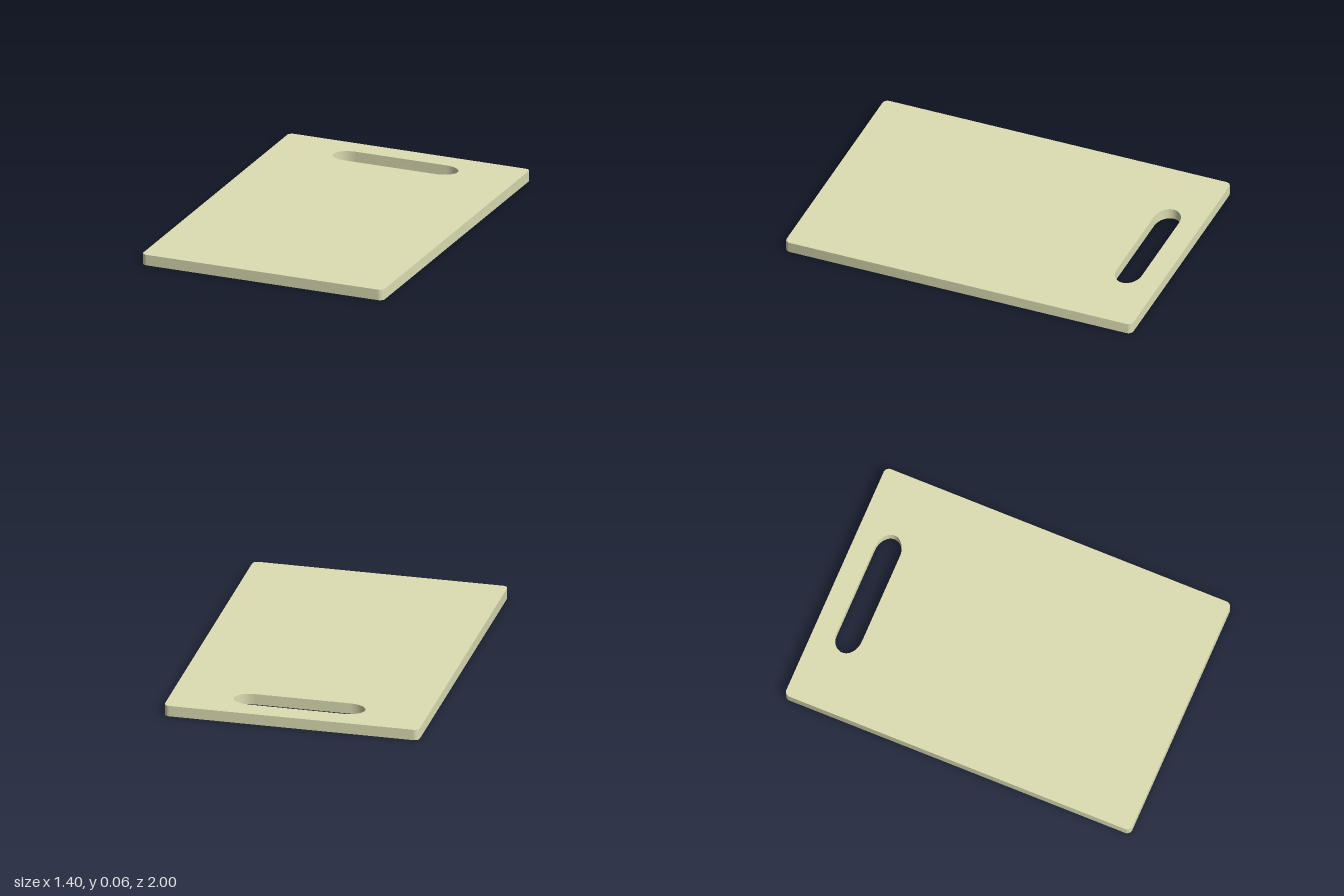
import * as THREE from 'three';
import { toCreasedNormals } from 'three/addons/utils/BufferGeometryUtils.js';

const WIDTH = 1.4, LENGTH = 2, THICKNESS = 0.06;

// Rectangle with elliptical corners, centred on (0, cy)
function roundedRect(path, cy, halfW, halfH, rx, ry) {
  const corners = [[1, -1, -0.5], [1, 1, 0], [-1, 1, 0.5], [-1, -1, 1]];
  path.moveTo(-halfW + rx, cy - halfH);
  for (const [sx, sy, start] of corners) {
    path.absellipse(sx * (halfW - rx), cy + sy * (halfH - ry), rx, ry,
      start * Math.PI, (start + 0.5) * Math.PI, false);
  }
  path.closePath();
  return path;
}

export function createModel() {
  const group = new THREE.Group();
  group.name = 'cuttingBoard';

  // Board outline with the handle slot near the back edge
  const outline = roundedRect(new THREE.Shape(), 0, WIDTH / 2, LENGTH / 2, 0.03, 0.03);
  outline.holes.push(roundedRect(new THREE.Path(), 0.807, 0.36, 0.072, 0.1, 0.072));

  // Extrude upwards and lay flat, back edge towards -z
  const geometry = new THREE.ExtrudeGeometry(outline, {
    depth: THICKNESS, bevelEnabled: false, curveSegments: 12,
  });
  geometry.rotateX(-Math.PI / 2);

  const board = new THREE.Mesh(
    toCreasedNormals(geometry, Math.PI / 5),
    new THREE.MeshStandardMaterial({ color: 0xdddeb3 }),
  );
  board.name = 'board';
  group.add(board);
  return group;
}
